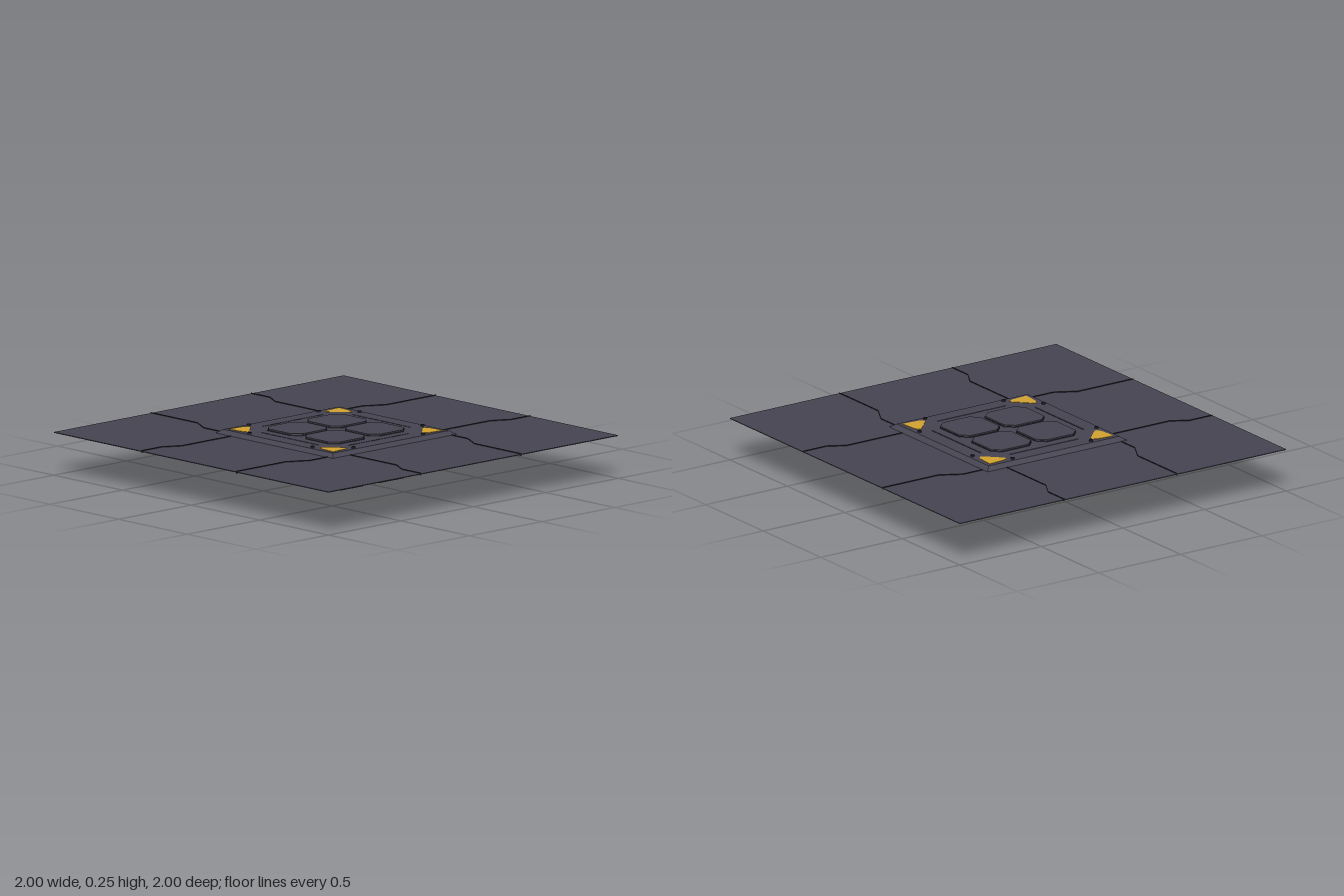
import * as THREE from 'three';

export function createModel() {
  const model = new THREE.Group();
  model.name = 'floorTile';
  const steel = new THREE.MeshStandardMaterial({ color: 0x454350, side: THREE.DoubleSide });
  const dark = new THREE.MeshStandardMaterial({ color: 0x24232b });
  const yellow = new THREE.MeshStandardMaterial({ color: 0xd0a02f });
  steel.name = 'slate steel';
  dark.name = 'dark seam';
  yellow.name = 'warning yellow';

  const add = (name, geometry, material, x = 0, y = 0, z = 0, parent = model) => {
    const mesh = new THREE.Mesh(geometry, material);
    mesh.name = name;
    mesh.position.set(x, y, z);
    parent.add(mesh);
    return mesh;
  };
  // Outlines are given as [x, z] and raised from y0 to y1
  const outline = (pts, Type = THREE.Shape) => new Type(pts.map(([x, z]) => new THREE.Vector2(x, -z)));
  const rect = (w, d, x = 0, z = 0) => [[x - w, z - d], [x + w, z - d], [x + w, z + d], [x - w, z + d]];
  const slab = (pts, y0, y1, holes = []) => {
    const shape = outline(pts);
    shape.holes = holes.map((h) => outline(h, THREE.Path));
    return new THREE.ExtrudeGeometry(shape, { depth: y1 - y0, bevelEnabled: false })
      .rotateX(-Math.PI / 2).translate(0, y0, 0);
  };
  const octagon = (r, c) => [[-r + c, -r], [r - c, -r], [r, -r + c], [r, r - c],
    [r - c, r], [-r + c, r], [-r, r - c], [-r, -r + c]];

  // Thin floor sheet, open beneath the raised platform
  add('floorSheet', slab(rect(1, 1), 0.217, 0.221, [rect(0.42, 0.42)]), steel);

  // Raised platform: sloped border and slotted top
  const slope = new THREE.CylinderGeometry(0.4 * Math.SQRT2, 0.43 * Math.SQRT2, 0.021, 4, 1, true)
    .rotateY(Math.PI / 4).toNonIndexed();
  slope.computeVertexNormals();
  add('platformSlope', slope, steel, 0, 0.2295, 0);
  const slots = [rect(0.21, 0.003, 0, -0.315), rect(0.21, 0.003, 0, 0.315),
    rect(0.003, 0.21, -0.315, 0), rect(0.003, 0.21, 0.315, 0)];
  add('platformTop', slab(rect(0.4, 0.4), 0.228, 0.24, slots), steel);

  // Recessed yellow strips beneath two of the slots
  add('slotStripFront', new THREE.BoxGeometry(0.42, 0.004, 0.008), yellow, 0, 0.226, 0.315);
  add('slotStripLeft', new THREE.BoxGeometry(0.008, 0.004, 0.42), yellow, 0.315, 0.226, 0);

  const blockGeometry = slab(octagon(0.123, 0.042), 0, 0.25);
  const collarGeometry = slab(octagon(0.126, 0.043), 0.238, 0.244);
  const boltGeometry = new THREE.CylinderGeometry(0.01, 0.01, 0.092, 8);
  const marker = [[0.38, 0.38], [0.29, 0.373], [0.263, 0.36], [0.263, 0.345],
    [0.345, 0.263], [0.36, 0.263], [0.373, 0.29]];

  for (const sx of [-1, 1]) {
    for (const sz of [-1, 1]) {
      // Octagonal block with a dark collar
      add('block', blockGeometry, steel, sx * 0.137, 0, sz * 0.137);
      add('blockCollar', collarGeometry, dark, sx * 0.137, 0, sz * 0.137);
      // Corner marker and its two bolts
      add('cornerMarker', slab(marker.map(([x, z]) => [x * sx, z * sz]), 0.222, 0.242), yellow);
      add('bolt', boltGeometry, dark, sx * 0.38, 0.202, sz * 0.24);
      add('bolt', boltGeometry, dark, sx * 0.23, 0.202, sz * 0.38);
    }
  }

  // Hairline floor seams, repeated on each side
  const seams = [
    [[-0.33, -1], [-0.33, -0.66], [-0.39, -0.55], [-0.39, -0.43]],
    [[0.36, -1], [0.36, -0.86], [0.31, -0.77], [0.31, -0.43]],
  ];
  for (let side = 0; side < 4; side++) {
    const group = new THREE.Group();
    group.name = 'floorSeams';
    group.rotation.y = side * Math.PI / 2;
    model.add(group);
    for (const path of seams) {
      for (let i = 1; i < path.length; i++) {
        const [ax, az] = path[i - 1], [bx, bz] = path[i];
        const length = Math.hypot(bx - ax, bz - az);
        const strip = add('seam', new THREE.BoxGeometry(0.002, 0.013, length), dark,
          (ax + bx) / 2, 0.219, (az + bz) / 2, group);
        strip.rotation.y = Math.atan2(bx - ax, bz - az);
      }
    }
  }
  return model;
}
